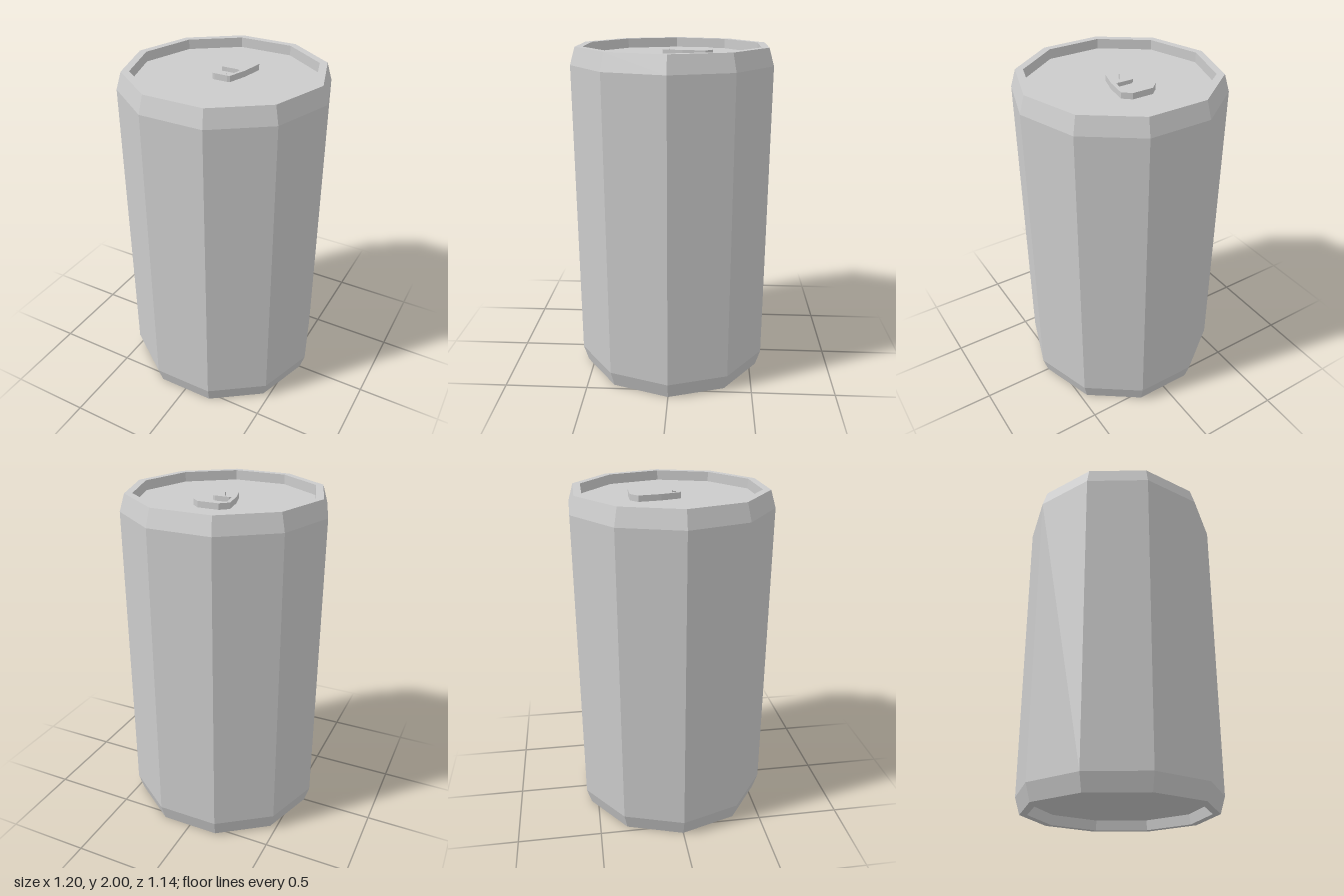
import * as THREE from 'three';

const SIDES = 10;
const FLOOR_Y = 1.942; // recessed lid surface

const material = new THREE.MeshStandardMaterial({ color: 0xcccccc, flatShading: true });

// Ten-sided turned part with a corner on the x axis; profile points are [radius, y], bottom to top
function turned(name, profile) {
  const points = profile.map(([r, y]) => new THREE.Vector2(r, y));
  const mesh = new THREE.Mesh(new THREE.LatheGeometry(points, SIDES, Math.PI / 2), material);
  mesh.name = name;
  return mesh;
}

// Closed outline from its +x half, mirrored across x = 0; points are [x, z]
function mirrored(half, Type) {
  const right = half.map(([x, z]) => new THREE.Vector2(x, -z));
  const left = half.map(([x, z]) => new THREE.Vector2(-x, -z)).reverse();
  return new Type([...right, ...left]);
}

function createPullTab() {
  const outline = mirrored(
    [[0.063, -0.232], [0.11, -0.19], [0.09, -0.06], [0.055, 0.053], [0.04, 0.058]], THREE.Shape);
  // Finger hole, and the notched opening around the rivet tongue
  outline.holes.push(
    mirrored([[0.056, -0.21], [0.088, -0.172], [0.068, -0.078], [0.04, -0.08]], THREE.Path),
    mirrored([[0.043, -0.056], [0.063, -0.042], [0.043, 0.04], [0.021, 0.04], [0.018, 0.018]], THREE.Path));
  const geometry = new THREE.ExtrudeGeometry(outline, { depth: 0.035, bevelEnabled: false });
  geometry.rotateX(-Math.PI / 2);
  const tab = new THREE.Mesh(geometry, material);
  tab.name = 'pullTab';
  tab.position.y = FLOOR_Y;
  return tab;
}

export function createModel() {
  const can = new THREE.Group();
  can.name = 'drinkCan';
  can.add(
    // Recessed underside with its standing ring
    turned('base', [[0, 0.06], [0.515, 0.06], [0.525, 0], [0.57, 0]]),
    // Wall, tapering in at both ends
    turned('body', [[0.57, 0], [0.6, 0.1], [0.6, 1.9], [0.57, 2]]),
    // Rim and sunken lid
    turned('lid', [[0.57, 2], [0.525, 2], [0.525, FLOOR_Y], [0, FLOOR_Y]]),
    createPullTab());
  return can;
}
